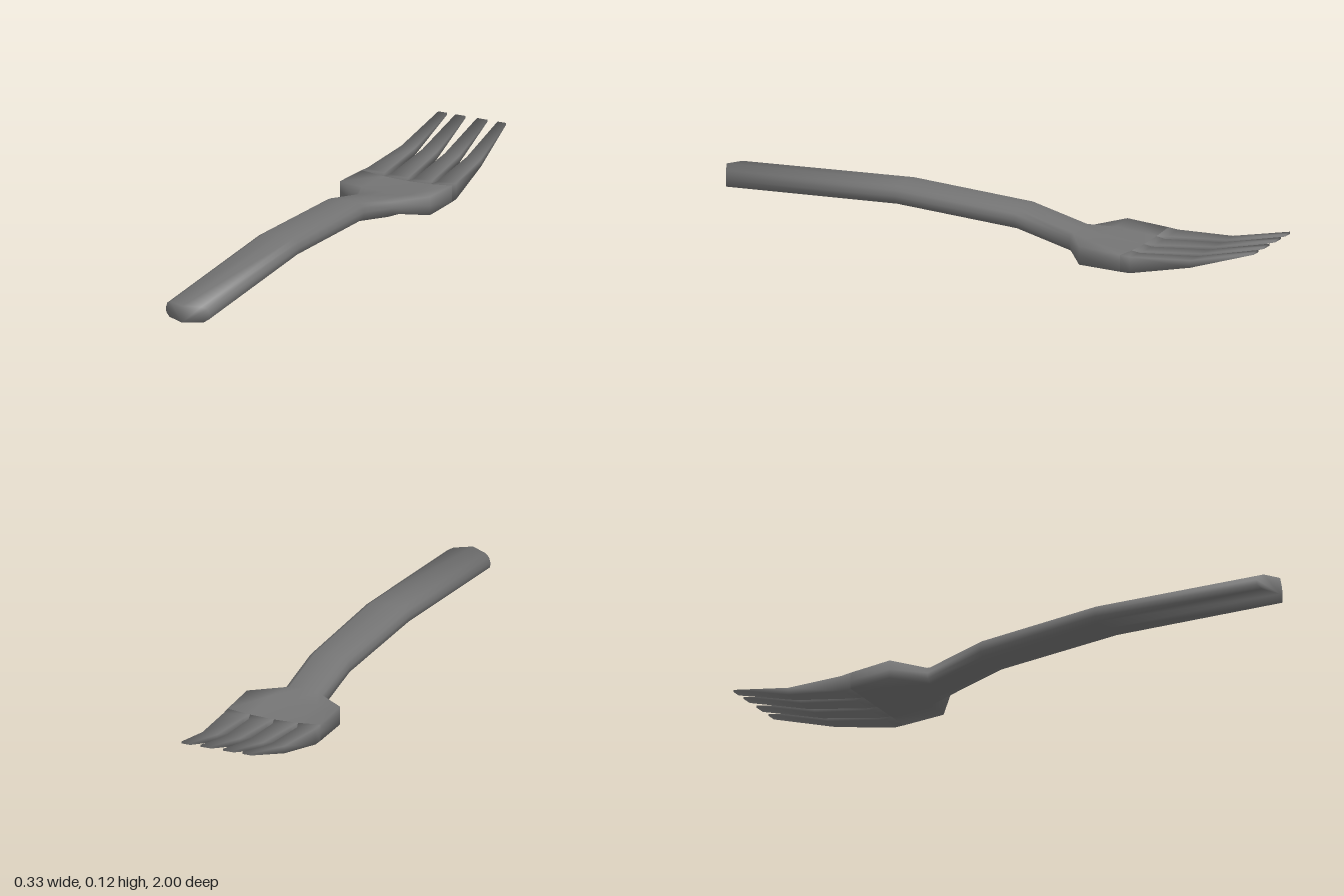
import * as THREE from 'three';
import { toCreasedNormals } from 'three/addons/utils/BufferGeometryUtils.js';

// side profile: z, underside y, upper y
const PROFILE = [
  [1, 0.03, 0.086], [0.34, 0.07, 0.13], [-0.1, 0.055, 0.118], [-0.3, 0.009, 0.073],
  [-0.385, 0.006, 0.069], [-0.57, 0.005, 0.06], [-0.78, 0.05, 0.075], [-1, 0.121, 0.128],
];
// depth of the dish in the head: z, depth
const DISH = [[-0.3, 0], [-0.4, 0.01], [-0.54, 0.01], [-0.8, 0], [-1, 0]];

// linear lookup in a table sorted by falling z
function sample(table, z, column) {
  for (let i = 0; i < table.length - 1; i++) {
    const a = table[i], b = table[i + 1];
    if (z >= b[0]) return THREE.MathUtils.mapLinear(Math.min(z, a[0]), a[0], b[0], a[column], b[column]);
  }
  return table.at(-1)[column];
}
const low = (z) => sample(PROFILE, z, 1);
const high = (x, z) =>
  sample(PROFILE, z, 2) - sample(DISH, Math.min(z, -0.3), 1) * (1 - (x / 0.165) ** 2);

// smooth skin over rings (counter-clockwise seen from +z, ordered from +z to -z), closed at one end
function loft(rings, capFirst) {
  const n = rings[0].length, index = [];
  for (let r = 0; r < rings.length - 1; r++) {
    for (let i = 0; i < n; i++) {
      const a = r * n + i, b = r * n + (i + 1) % n;
      index.push(a, a + n, b, b, a + n, b + n);
    }
  }
  const start = capFirst ? 0 : (rings.length - 1) * n;
  for (let i = start; i < start + n - 2; i++) {
    index.push(start + n - 1, capFirst ? i : i + 1, capFirst ? i + 1 : i);
  }
  const geometry = new THREE.BufferGeometry();
  geometry.setAttribute('position', new THREE.Float32BufferAttribute(rings.flat(2), 3));
  geometry.setIndex(index);
  return toCreasedNormals(geometry, Math.PI);
}

// full section from its right half, as fractions of half width and thickness
const mirrored = (half, bottom) => [
  ...half, ...half.slice(0, -1).reverse().map(([u, v]) => [-u, v]), [0, bottom],
];
const HANDLE = mirrored([[0.78, 0], [0.98, 0.2], [1, 0.5], [0.92, 0.8], [0.7, 0.95], [0, 1]], -0.02);
const SLOT = 0.085 / 0.165;
const HEAD = mirrored([[SLOT, 0], [1, 0], [1, 0.5], [1, 1], [SLOT, 1], [0, 1]], 0);

export function createModel() {
  const group = new THREE.Group();
  const material = new THREE.MeshStandardMaterial({ color: 0x747474 });
  const add = (name, geometry) => {
    const mesh = new THREE.Mesh(geometry, material);
    mesh.name = name;
    group.add(mesh);
  };

  // handle with a pointed end, flaring into the shoulders and the shallow dish of the head
  const ROOT = -0.535;
  const ring = (section, z, width, centre = 0, point = 0) => section.map(([u, v]) => {
    const x = centre + u * width;
    return [x, THREE.MathUtils.lerp(low(z), high(x, z), v), z - point * Math.abs(u)];
  });
  add('handleAndHead', loft([
    ring(HANDLE, 1, 0.08, -0.005, 0.04),
    ring(HANDLE, 0.34, 0.078, -0.002),
    ring(HANDLE, -0.1, 0.073, 0.002),
    ring(HANDLE, -0.3, 0.072, 0.002),
    ring(HEAD, -0.385, 0.165),
    ring(HEAD, ROOT, 0.165),
  ], true));

  // tines: left and right edges at the root, past the notch, at the bend and at the tip
  const STATIONS = [ROOT, -0.57, -0.78, -1];
  const TINES = [
    [[-0.165, -0.085], [-0.163, -0.098], [-0.149, -0.1], [-0.132, -0.1]],
    [[-0.085, 0], [-0.076, -0.01], [-0.073, -0.019], [-0.069, -0.032]],
    [[0, 0.085], [0.01, 0.075], [0.01, 0.063], [0.01, 0.048]],
    [[0.085, 0.165], [0.093, 0.163], [0.09, 0.142], [0.085, 0.116]],
  ];
  TINES.forEach((edges, i) => {
    add(`tine${i + 1}`, loft(edges.map(([a, b], s) => {
      const z = STATIONS[s];
      return [[a, low(z), z], [b, low(z), z], [b, high(b, z), z], [a, high(a, z), z]];
    }), false));
  });

  return group;
}
